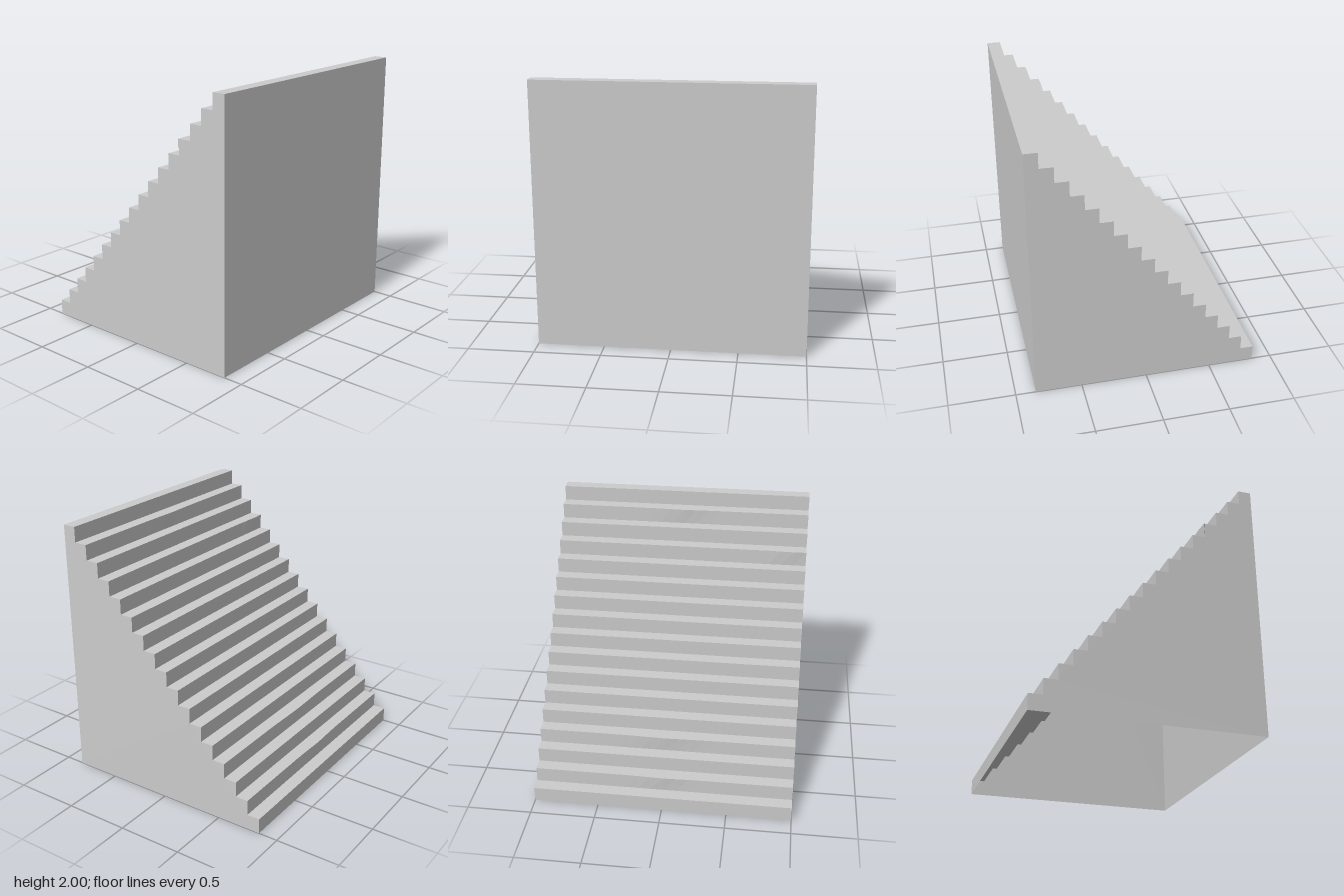
import * as THREE from 'three';

const STEPS = 17, RUN = 0.1, RISE = 2 / STEPS, X0 = -0.85, X1 = 0.85;
const material = new THREE.MeshStandardMaterial({ color: 0xcccccc, flatShading: true, side: THREE.DoubleSide });

// Slightly uneven nosings: step index -> [centre z, half width] of a shallow bulge
const BULGES = { 1: [0, 0.25], 3: [0, 0.35], 13: [0.9, 0.2], 15: [0, 0.25] };

function bulge(step, z) {
  if (!BULGES[step]) return 0;
  const [centre, half] = BULGES[step];
  return 0.008 * Math.max(0, 1 - Math.abs(z - centre) / half);
}

// Stair outline at one depth, from the foot up to the top of the tall wall
function profile(z) {
  const points = [];
  for (let i = 0; i < STEPS; i++) {
    const x = X0 + i * RUN;
    points.push([x, i * RISE, z], [x - bulge(i, z), (i + 1) * RISE, z]);
  }
  points.push([X1, 2, z]);
  return points;
}

// Open stepped sheet joining the outlines along the depth
function stairGeometry() {
  const stations = 20, positions = [];
  for (let s = 0; s < stations; s++) {
    const a = profile(-1 + (2 * s) / stations);
    const b = profile(-1 + (2 * (s + 1)) / stations);
    for (let i = 0; i < a.length - 1; i++) {
      positions.push(...a[i], ...b[i], ...b[i + 1], ...a[i], ...b[i + 1], ...a[i + 1]);
    }
  }
  const geometry = new THREE.BufferGeometry();
  geometry.setAttribute('position', new THREE.Float32BufferAttribute(positions, 3));
  geometry.computeVertexNormals();
  return geometry;
}

export function createModel() {
  const group = new THREE.Group();
  group.name = 'staircase';
  const add = (name, geometry) => {
    const mesh = new THREE.Mesh(geometry, material);
    mesh.name = name;
    group.add(mesh);
    return mesh;
  };

  // Treads and risers, hollow underneath
  add('steps', stairGeometry());

  // Stepped side walls
  const outline = new THREE.Shape();
  outline.moveTo(X1, 0);
  outline.lineTo(X1, 2);
  for (let i = STEPS - 1; i >= 0; i--) {
    outline.lineTo(X0 + i * RUN, (i + 1) * RISE);
    outline.lineTo(X0 + i * RUN, i * RISE);
  }
  outline.closePath();
  add('frontSideWall', new THREE.ShapeGeometry(outline)).position.z = 1;
  const back = new THREE.ShapeGeometry(outline);
  // Reverse the winding so this wall faces outward
  const index = back.index.array;
  for (let i = 0; i < index.length; i += 3) [index[i], index[i + 1]] = [index[i + 1], index[i]];
  back.computeVertexNormals();
  add('backSideWall', back).position.z = -1;

  // Tall wall behind the top step
  const wall = add('tallWall', new THREE.PlaneGeometry(2, 2));
  wall.rotation.y = Math.PI / 2;
  wall.position.set(X1, 1, 0);

  return group;
}
